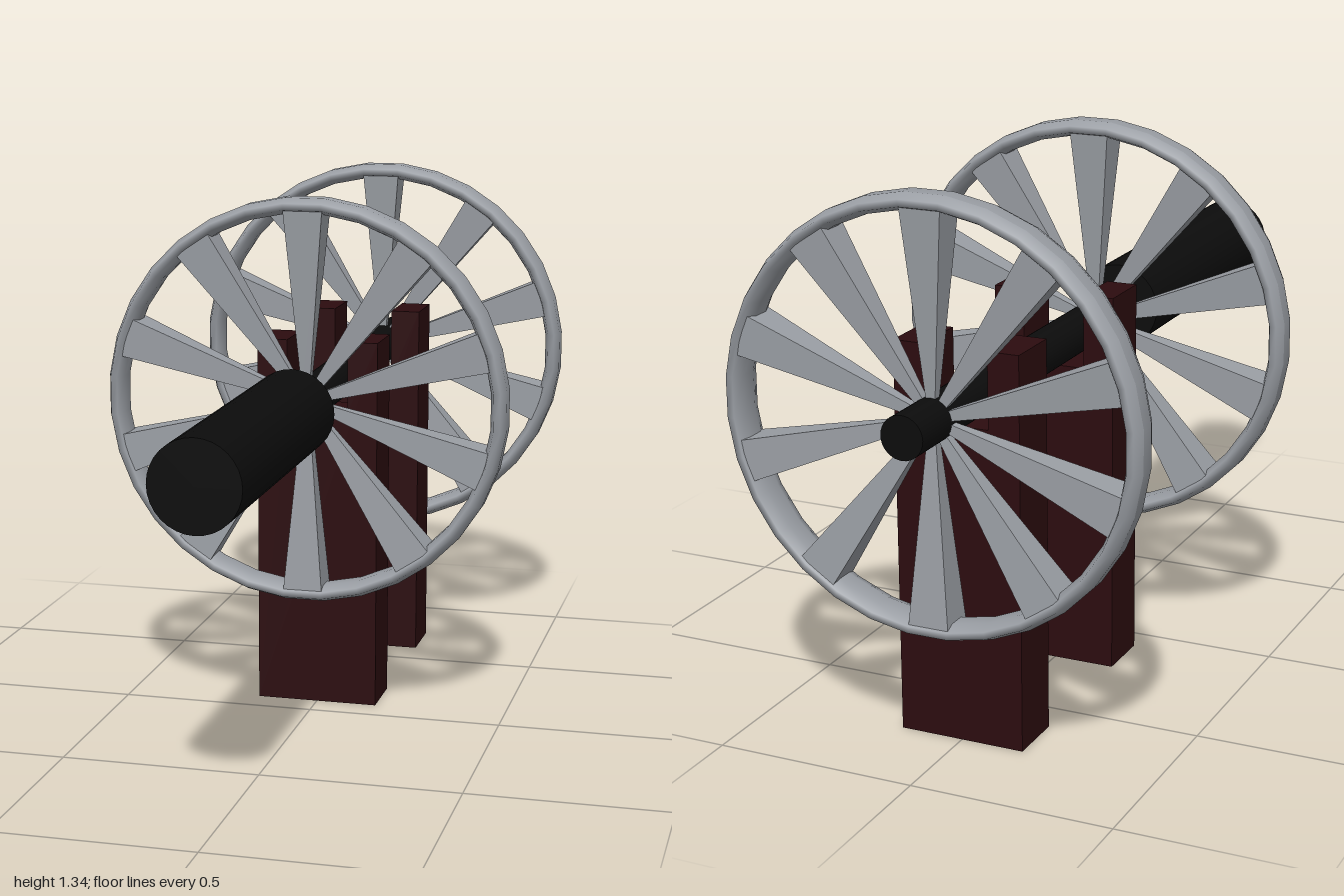
import * as THREE from 'three';

const AXLE_Y = 0.83;
const black = new THREE.MeshStandardMaterial({ color: 0x0c0c0c });
const maroon = new THREE.MeshStandardMaterial({ color: 0x2c0c0f });
const steel = new THREE.MeshStandardMaterial({ color: 0x9a9ea4 });
const steelFlat = new THREE.MeshStandardMaterial({ color: 0x9a9ea4, flatShading: true });

function add(parent, name, geometry, material) {
  const mesh = new THREE.Mesh(geometry, material);
  mesh.name = name;
  parent.add(mesh);
  return mesh;
}

// Cylinder lying along z between two depths
function rod(parent, name, radius, z0, z1) {
  const geometry = new THREE.CylinderGeometry(radius, radius, z1 - z0, 32);
  geometry.rotateX(Math.PI / 2);
  add(parent, name, geometry, black).position.set(0, AXLE_Y, (z0 + z1) / 2);
}

// Rim with a flattened octagonal section, and ten flaring square spokes
function wheel(name, z) {
  const group = new THREE.Group();
  group.name = name;
  group.position.set(0, AXLE_Y, z);

  const section = [];
  for (let i = 0; i <= 8; i++) {
    const a = ((i + 0.5) / 8) * Math.PI * 2 - Math.PI / 4;
    const k = 1 / Math.cos(Math.PI / 8);
    section.push(new THREE.Vector2(0.497 + 0.02 * k * Math.cos(a), 0.051 * k * Math.sin(a)));
  }
  const rim = new THREE.LatheGeometry(section, 32, Math.PI / 32);
  rim.rotateX(Math.PI / 2);
  add(group, 'rim', rim, steel);

  const inner = 0.03, outer = 0.485;
  const spoke = new THREE.CylinderGeometry(0.1 * Math.SQRT1_2, 0.02 * Math.SQRT1_2, outer - inner, 4);
  spoke.rotateY(Math.PI / 4);
  spoke.scale(1, 1, 0.9);
  spoke.translate(0, (inner + outer) / 2, 0);
  for (let i = 0; i < 10; i++) {
    add(group, 'spoke', spoke, steelFlat).rotation.z = (i / 10) * Math.PI * 2;
  }
  return group;
}

// Upright board with a square notch that cradles the axle
function post(name, z) {
  const w = 0.158, h = 0.965, notch = 0.08, saddle = 0.78, depth = 0.146;
  const outline = new THREE.Shape([
    [-w, 0], [w, 0], [w, h], [notch, h], [notch, saddle],
    [-notch, saddle], [-notch, h], [-w, h],
  ].map(([x, y]) => new THREE.Vector2(x, y)));
  const geometry = new THREE.ExtrudeGeometry(outline, { depth, bevelEnabled: false });
  geometry.translate(0, 0, z - depth / 2);
  const mesh = new THREE.Mesh(geometry, maroon);
  mesh.name = name;
  return mesh;
}

export function createModel() {
  const model = new THREE.Group();
  model.name = 'wheelAndAxle';

  rod(model, 'axle', 0.052, -1, 0.2);
  rod(model, 'handle', 0.108, 0.18, 1);

  model.add(wheel('frontWheel', 0.034), wheel('rearWheel', -0.854));
  model.add(post('frontPost', -0.148), post('rearPost', -0.67));
  return model;
}
